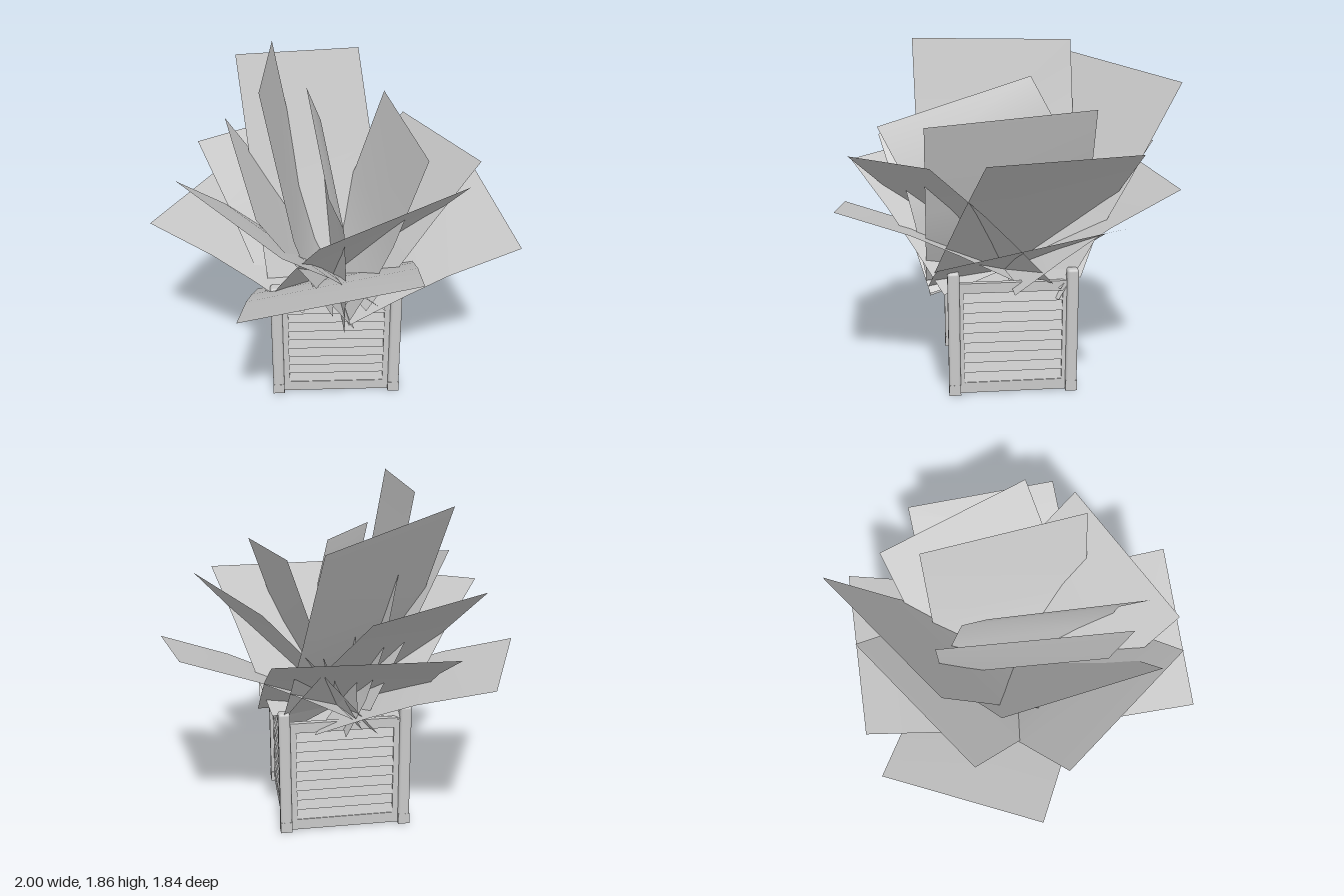
import * as THREE from 'three';
import { RoundedBoxGeometry } from 'three/addons/geometries/RoundedBoxGeometry.js';

export function createModel() {
  const model = new THREE.Group();
  const grey = new THREE.MeshStandardMaterial({ color: 0xc8c8c8, side: THREE.DoubleSide });
  grey.name = 'light grey';

  const add = (parent, geometry, name, x = 0, y = 0, z = 0) => {
    const mesh = new THREE.Mesh(geometry, grey);
    mesh.name = name;
    mesh.position.set(x, y, z);
    parent.add(mesh);
    return mesh;
  };

  // Planter: four rounded posts on square feet, a floor, soil and four louvred sides
  const planter = new THREE.Group();
  planter.name = 'planter';
  planter.position.set(0.025, 0, -0.014);
  model.add(planter);

  for (const x of [-0.328, 0.328]) {
    for (const z of [-0.318, 0.318]) {
      add(planter, new RoundedBoxGeometry(0.063, 0.68, 0.063, 3, 0.015), 'cornerPost', x, 0.36, z);
      add(planter, new THREE.BoxGeometry(0.064, 0.06, 0.064), 'postFoot', x, 0.03, z);
    }
  }
  add(planter, new THREE.BoxGeometry(0.64, 0.02, 0.63), 'floor', 0, 0.015, 0);
  add(planter, new THREE.BoxGeometry(0.61, 0.02, 0.6), 'soil', 0, 0.52, 0);

  // Frame with a rectangular opening
  const frame = new THREE.Shape();
  frame.moveTo(-0.31, 0.005);
  frame.lineTo(0.31, 0.005);
  frame.lineTo(0.31, 0.635);
  frame.lineTo(-0.31, 0.635);
  frame.closePath();
  const opening = new THREE.Path();
  opening.moveTo(-0.265, 0.065);
  opening.lineTo(-0.265, 0.58);
  opening.lineTo(0.265, 0.58);
  opening.lineTo(0.265, 0.065);
  opening.closePath();
  frame.holes.push(opening);
  const frameGeometry = new THREE.ExtrudeGeometry(frame, { depth: 0.03, bevelEnabled: false });

  const slatCount = 9;
  const pitch = 0.515 / slatCount;
  for (let side = 0; side < 4; side++) {
    const panel = new THREE.Group();
    panel.name = 'sidePanel';
    panel.rotation.y = side * Math.PI / 2;
    planter.add(panel);
    const out = side % 2 ? 0.325 : 0.315;
    add(panel, frameGeometry, 'panelFrame', 0, 0, out - 0.015);
    for (let i = 0; i < slatCount; i++) {
      const slat = add(panel, new THREE.BoxGeometry(0.54, pitch * 1.04, 0.01), 'slat',
        0, 0.065 + pitch * (i + 0.5), out);
      slat.rotation.x = -0.28;
    }
  }

  // Leaves: broad bent strips sharing one root, each given by the two corners
  // of its tip and, for one that arches strongly, its middle
  const root = new THREE.Vector3(0.02, 0.59, 0);
  const leaves = [
    [[-0.45, 1.12, -0.85], [0.45, 1.14, -0.87]],
    [[-1.0, 0.94, 0.0], [-0.64, 0.94, -0.81]],
    [[-0.47, 0.885, 0.92], [0.41, 1.055, 0.9]],
    [[1.0, 0.94, 0.36], [0.87, 1.07, -0.51]],
    [[-0.51, 1.775, -0.41], [0.21, 1.66, -0.92]],
    [[-0.345, 1.86, 0.49], [-0.305, 1.85, -0.41]],
    [[-0.03, 1.41, 0.69], [-0.12, 1.665, -0.16], [0.005, 1.3, 0.14]],
    [[0.47, 1.485, 0.44], [0.33, 1.54, -0.45]],
    [[-0.08, 1.24, 0.86], [0.69, 1.33, 0.42]],
    [[-0.815, 1.265, 0.15], [-0.25, 1.19, 0.855]],
    [[-0.74, 1.3, -0.31], [-0.02, 1.31, -0.84]],
    [[0.79, 1.355, 0.16], [0.47, 1.33, -0.67]],
    [[-0.565, 1.5, -0.15], [-0.37, 1.31, 0.7]],
  ];
  const steps = [0, 0.25, 0.5, 1];
  const foliage = new THREE.Group();
  foliage.name = 'foliage';
  model.add(foliage);

  for (const [a, b, middle] of leaves) {
    const p = new THREE.Vector3(...a);
    const q = new THREE.Vector3(...b);
    const half = q.clone().sub(p).multiplyScalar(0.5);
    const end = p.clone().add(q).multiplyScalar(0.5);
    const reach = end.clone().sub(root);
    // Low leaves droop at the tip, steep ones curl upright
    const steep = Math.min(reach.y / Math.hypot(reach.x, reach.z), 3.6);
    const mid = middle
      ? new THREE.Vector3(...middle)
      : reach.clone().multiply(new THREE.Vector3(0.58, 0.7 - 0.09 * steep, 0.58)).add(root);
    const control = mid.multiplyScalar(2).addScaledVector(root, -0.5).addScaledVector(end, -0.5);
    const curve = new THREE.QuadraticBezierCurve3(root, control, end);
    const leaf = new THREE.PlaneGeometry(1, 1, 1, 3);
    const position = leaf.attributes.position;
    for (let i = 0; i < position.count; i++) {
      const step = steps[Math.round((position.getY(i) + 0.5) * 3)];
      const point = curve.getPoint(step).addScaledVector(half, position.getX(i) * 2);
      position.setXYZ(i, point.x, point.y, point.z);
    }
    leaf.computeVertexNormals();
    add(foliage, leaf, 'leaf');
  }
  return model;
}
